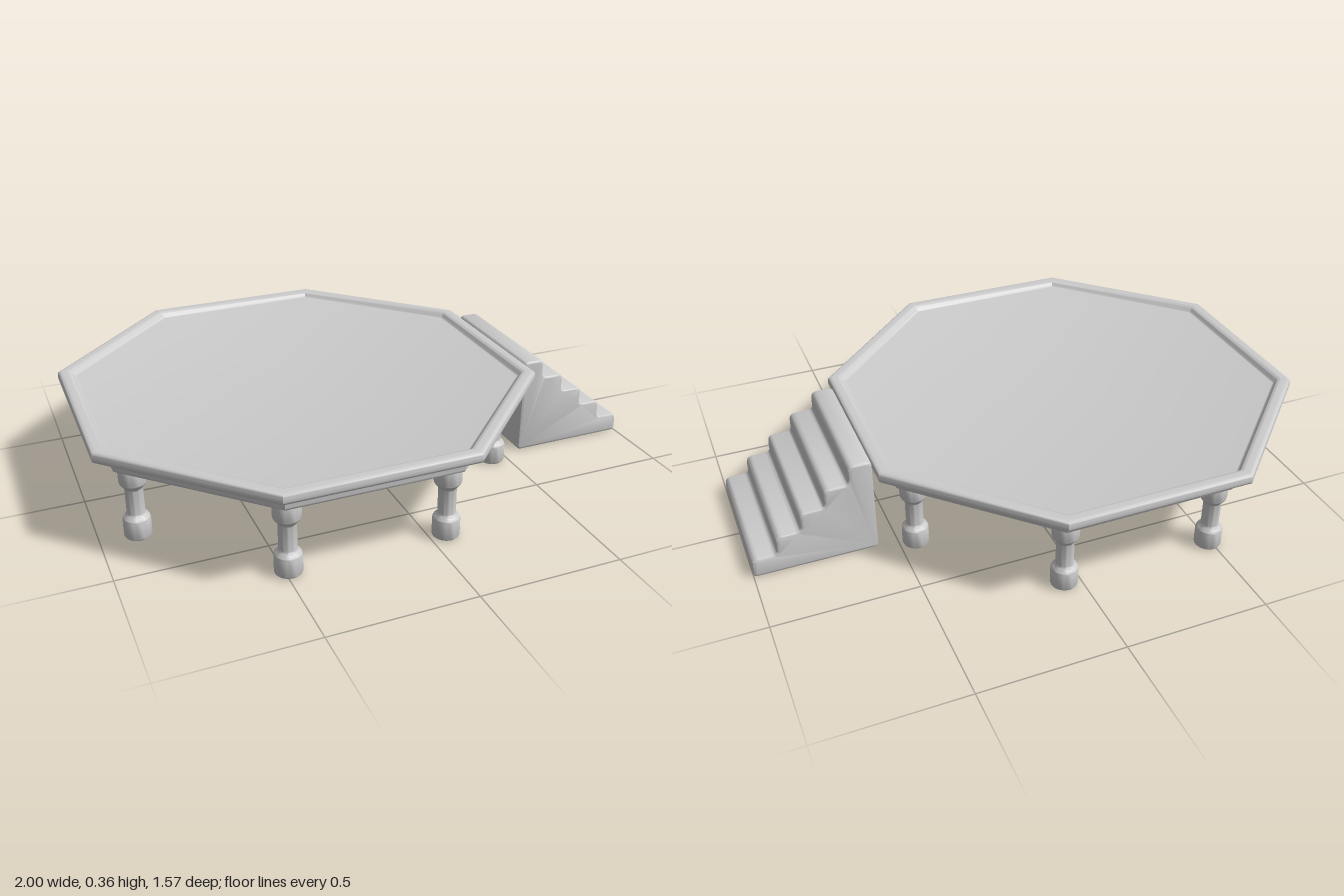
import * as THREE from 'three';
import { toCreasedNormals } from 'three/addons/utils/BufferGeometryUtils.js';

const material = new THREE.MeshStandardMaterial({ color: 0xcccccc });
const CENTRE_X = -0.215;

// Traces corners [x, y, radius] into a path, rounding each corner by its radius.
function roundedPath(path, corners, closed) {
  const n = corners.length;
  const vec = (c) => new THREE.Vector2(c[0], c[1]);
  corners.forEach((c, i) => {
    const p = vec(c);
    const r = c[2] || 0;
    const toward = (q) => p.clone().add(vec(q).sub(p).setLength(r));
    const a = r ? toward(corners[(i + n - 1) % n]) : p;
    const b = r ? toward(corners[(i + 1) % n]) : p;
    if (i === 0) path.moveTo(a.x, a.y);
    else path.lineTo(a.x, a.y);
    if (r) path.quadraticCurveTo(p.x, p.y, b.x, b.y);
  });
  if (closed) path.closePath();
  return path;
}

function addMesh(parent, name, geometry) {
  const mesh = new THREE.Mesh(toCreasedNormals(geometry, 0.6), material);
  mesh.name = name;
  parent.add(mesh);
  return mesh;
}

// Octagonal deck: lower skirt, overhanging rim and slightly sunken floor
function deckGeometry() {
  const profile = [
    [0, 0.26], [0.722, 0.26, 0.012], [0.722, 0.305, 0.012], [0.745, 0.32, 0.008],
    [0.785, 0.32, 0.013], [0.785, 0.358, 0.015], [0.742, 0.358, 0.01],
    [0.73, 0.338, 0.01], [0, 0.338],
  ];
  const k = 1 / Math.cos(Math.PI / 8);
  const points = roundedPath(new THREE.Path(), profile).getPoints(5)
    .map((p) => new THREE.Vector2(p.x * k, p.y));
  return new THREE.LatheGeometry(points, 8, Math.PI / 8);
}

// Turned leg with a thick foot and head
function legGeometry() {
  const profile = [
    [0, 0], [0.046, 0, 0.01], [0.046, 0.072, 0.01], [0.03, 0.086, 0.008],
    [0.03, 0.184, 0.008], [0.046, 0.2, 0.01], [0.046, 0.256, 0.01], [0.034, 0.265], [0, 0.265],
  ];
  return new THREE.LatheGeometry(roundedPath(new THREE.Path(), profile).getPoints(5), 28);
}

// Solid flight of five steps with softened edges
function stairsGeometry() {
  const x0 = 0.57, x1 = 1, count = 5, top = 0.358, width = 0.506, bevel = 0.01;
  const first = 0.083, run = (x1 - x0 - first) / (count - 1);
  const corners = [[x0, 0, 0.014], [x1, 0, 0.014]];
  for (let i = count - 1; i >= 0; i--) {
    const x = x0 + first + run * i;
    const y = (top * (count - i)) / count;
    corners.push([x, y, 0.026]);
    if (i > 0) corners.push([x - run, y, 0.018]);
  }
  corners.push([x0, top, 0.02]);
  const geometry = new THREE.ExtrudeGeometry(roundedPath(new THREE.Shape(), corners, true), {
    depth: width - 2 * bevel, curveSegments: 5,
    bevelEnabled: true, bevelThickness: bevel, bevelSize: bevel, bevelOffset: -bevel, bevelSegments: 4,
  });
  return geometry.translate(0, 0, bevel - width / 2);
}

export function createModel() {
  const group = new THREE.Group();
  group.name = 'octagonalPlatform';

  addMesh(group, 'deck', deckGeometry()).position.x = CENTRE_X;

  // One leg under each corner of the deck
  const legs = new THREE.Group();
  legs.name = 'legs';
  group.add(legs);
  const leg = legGeometry();
  for (let i = 0; i < 8; i++) {
    const a = Math.PI / 8 + (i * Math.PI) / 4;
    addMesh(legs, `leg${i + 1}`, leg)
      .position.set(CENTRE_X + 0.712 * Math.cos(a), 0, 0.712 * Math.sin(a));
  }

  addMesh(group, 'stairs', stairsGeometry());
  return group;
}
